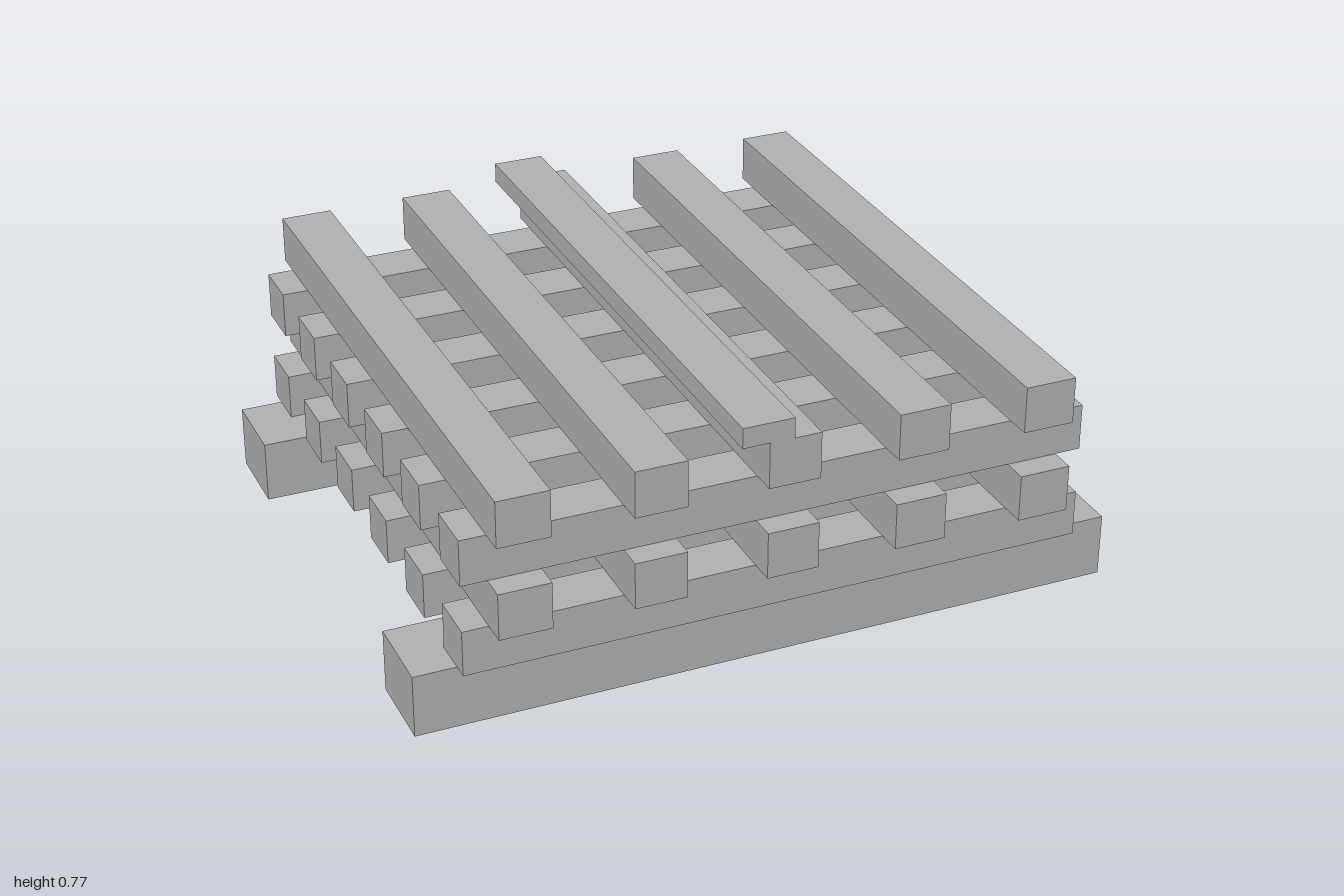
import * as THREE from 'three';

export function createModel() {
  const model = new THREE.Group();
  const timber = new THREE.MeshStandardMaterial({ color: 0xb2b2b2 });
  timber.name = 'grey timber';

  const BAR = 0.145;
  const LENGTH = 1.76;
  const crossRows = [-0.735, -0.441, -0.147, 0.147, 0.441, 0.735];
  const longRows = [-0.735, -0.368, 0, 0.368, 0.735];

  // A beam standing on y0 and reaching y1
  function beam(parent, name, width, depth, y0, y1, x, z) {
    const mesh = new THREE.Mesh(new THREE.BoxGeometry(width, y1 - y0, depth), timber);
    mesh.position.set(x, (y0 + y1) / 2, z);
    mesh.name = name;
    parent.add(mesh);
  }

  function layer(name) {
    const group = new THREE.Group();
    group.name = name;
    model.add(group);
    return group;
  }

  // Heavy skids under the stack
  const base = layer('baseSkids');
  for (const side of [-1, 1]) beam(base, 'skid', 2, 0.232, 0, 0.18, 0, side * 0.646);

  // Alternating layers of bars, crosswise then lengthwise
  const levels = [0.18, 0.311, 0.445, 0.577, 0.71];
  for (let i = 0; i < 4; i++) {
    const [y0, y1] = [levels[i], levels[i + 1]];
    if (i % 2 === 0) {
      const group = layer('crossBars');
      for (const z of crossRows) beam(group, 'crossBar', LENGTH, BAR, y0, y1, 0, z);
    } else {
      const group = layer('longBars');
      for (const x of longRows) beam(group, 'longBar', BAR, LENGTH, y0, y1, x, 0);
    }
  }

  // Flat strip lying off-centre on the middle bar
  beam(model, 'topStrip', BAR, LENGTH, 0.71, 0.768, -0.076, 0);

  return model;
}
